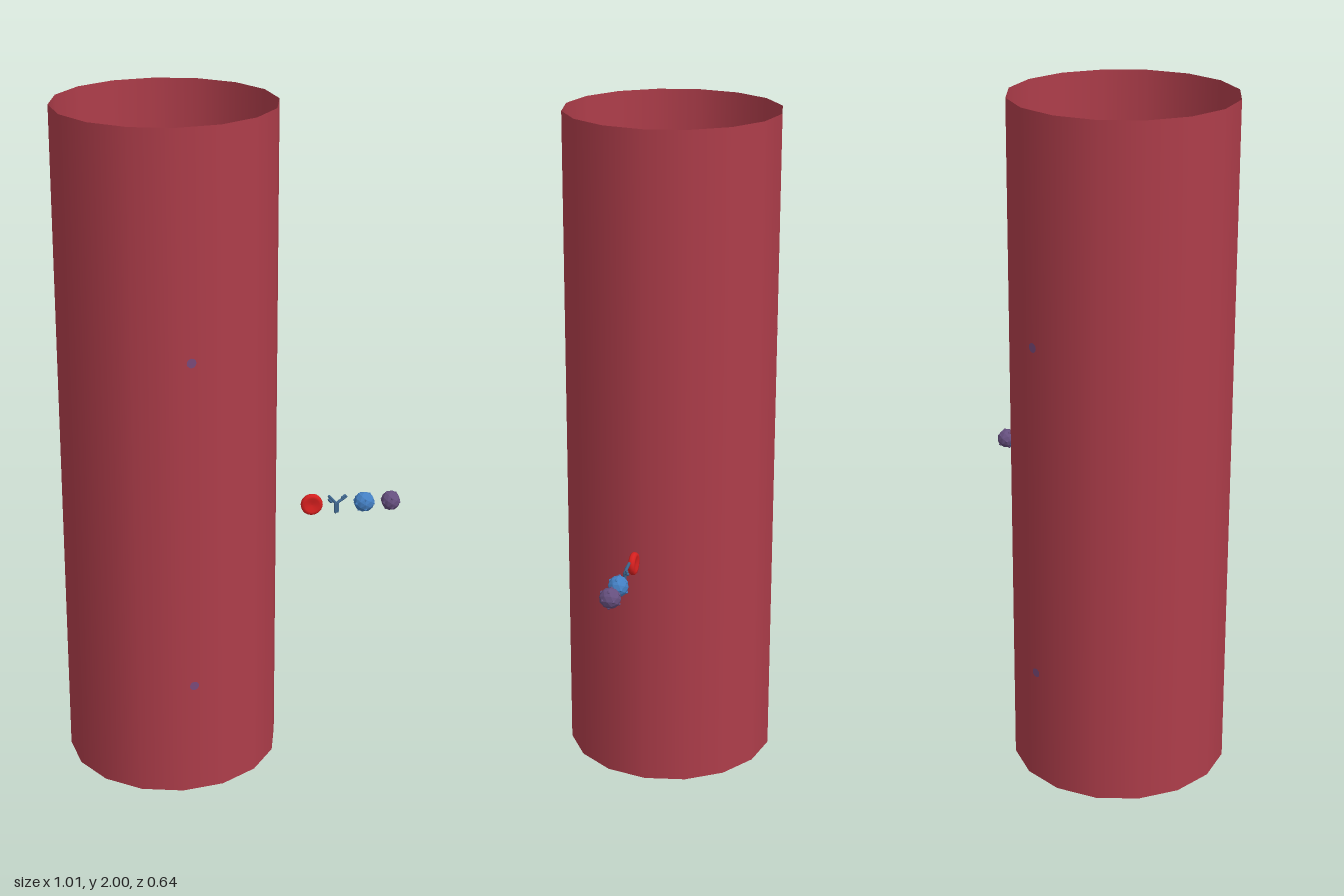
import * as THREE from 'three';

const mat = (name, color, side = THREE.FrontSide, flatShading = false) => {
  const m = new THREE.MeshStandardMaterial({ color, side, flatShading });
  m.name = name;
  return m;
};

export function createModel() {
  const group = new THREE.Group();
  const wallRed = mat('vesselRed', 0xae3d4a, THREE.DoubleSide);
  const spotViolet = mat('spotViolet', 0x7a4a7a, THREE.DoubleSide);
  const cellRed = mat('cellRed', 0xd8201f);
  const rodBlue = mat('rodBlue', 0x3f678f);
  const ballBlue = mat('ballBlue', 0x4480c4, THREE.FrontSide, true);
  const ballPurple = mat('ballPurple', 0x66507f, THREE.FrontSide, true);

  const add = (name, geometry, material, x, y, z, parent = group) => {
    const mesh = new THREE.Mesh(geometry, material);
    mesh.name = name;
    mesh.position.set(x, y, z);
    parent.add(mesh);
    return mesh;
  };

  // Open tube
  const R = 0.318, tubeX = -0.19, rowY = 0.768;
  add('vesselWall', new THREE.CylinderGeometry(R, R, 2, 16, 1, true), wallRed, tubeX, 1, 0);

  // Small spots lying on the front and back facets of the tube
  const facet = Math.PI / 16;
  const spotGeo = new THREE.CircleGeometry(0.014, 12);
  spotGeo.translate(-0.025, 0, R * Math.cos(facet) + 0.001);
  for (const turn of [0, Math.PI]) {
    for (const y of [0.35, 1.35]) {
      add('wallSpot', spotGeo, spotViolet, tubeX, y, 0).rotation.y = facet + turn;
    }
  }

  // Dished disc cell, axis along z
  const profile = [[0, -0.005], [0.012, -0.006], [0.022, -0.0095], [0.029, -0.009], [0.033, -0.004],
    [0.033, 0.004], [0.029, 0.009], [0.022, 0.0095], [0.012, 0.006], [0, 0.005]];
  const cell = new THREE.LatheGeometry(profile.map(p => new THREE.Vector2(...p)), 24);
  add('discCell', cell, cellRed, 0.237, rowY, 0).rotation.x = Math.PI / 2;

  // Y-shaped body made of short rods
  const yBody = new THREE.Group();
  yBody.name = 'forkedBody';
  yBody.position.set(0.311, rowY, 0);
  group.add(yBody);
  const rod = (name, a, b, r) => {
    const from = new THREE.Vector3(...a), to = new THREE.Vector3(...b);
    const dir = to.clone().sub(from);
    const mid = from.add(to).multiplyScalar(0.5);
    const mesh = add(name, new THREE.CapsuleGeometry(r, dir.length() - 2 * r, 4, 8), rodBlue, mid.x, mid.y, mid.z, yBody);
    mesh.quaternion.setFromUnitVectors(new THREE.Vector3(0, 1, 0), dir.normalize());
  };
  rod('stemRod', [-0.003, 0.006, 0.006], [-0.003, -0.029, 0.01], 0.0045);
  rod('stemRod', [0.004, 0.006, 0.002], [0.004, -0.029, 0.006], 0.0045);
  rod('leftArm', [0.003, 0.001, 0], [0.036, 0.016, -0.014], 0.0045);
  rod('leftArmSide', [0.016, 0.014, -0.003], [0.032, 0.021, -0.011], 0.004);
  rod('rightArm', [0, 0.001, 0.006], [-0.024, 0.026, -0.002], 0.0045);
  rod('rightArmSide', [-0.013, 0.005, 0.008], [-0.025, 0.017, 0.003], 0.004);

  // Knobbly balls: a faceted core with a raised stud at each corner
  const knobbly = (name, x, r, material, sx, sz) => {
    const ball = new THREE.Group();
    ball.name = name;
    ball.position.set(x, rowY, 0);
    ball.scale.set(sx, 1, sz);
    group.add(ball);
    add(name + 'Core', new THREE.IcosahedronGeometry(r, 1), material, 0, 0, 0, ball);
    const corners = new THREE.IcosahedronGeometry(r * 0.93, 0).getAttribute('position');
    const seen = new Set();
    const stud = new THREE.IcosahedronGeometry(r * 0.17, 0);
    for (let i = 0; i < corners.count; i++) {
      const p = new THREE.Vector3().fromBufferAttribute(corners, i);
      const key = p.toArray().map(v => Math.round(v * 1e4)).join();
      if (seen.has(key)) continue;
      seen.add(key);
      add(name + 'Stud', stud, material, p.x, p.y, p.z, ball);
    }
  };
  knobbly('blueBall', 0.397, 0.031, ballBlue, 1.03, 0.95);
  knobbly('purpleBall', 0.478, 0.03, ballPurple, 0.96, 1.05);

  return group;
}
